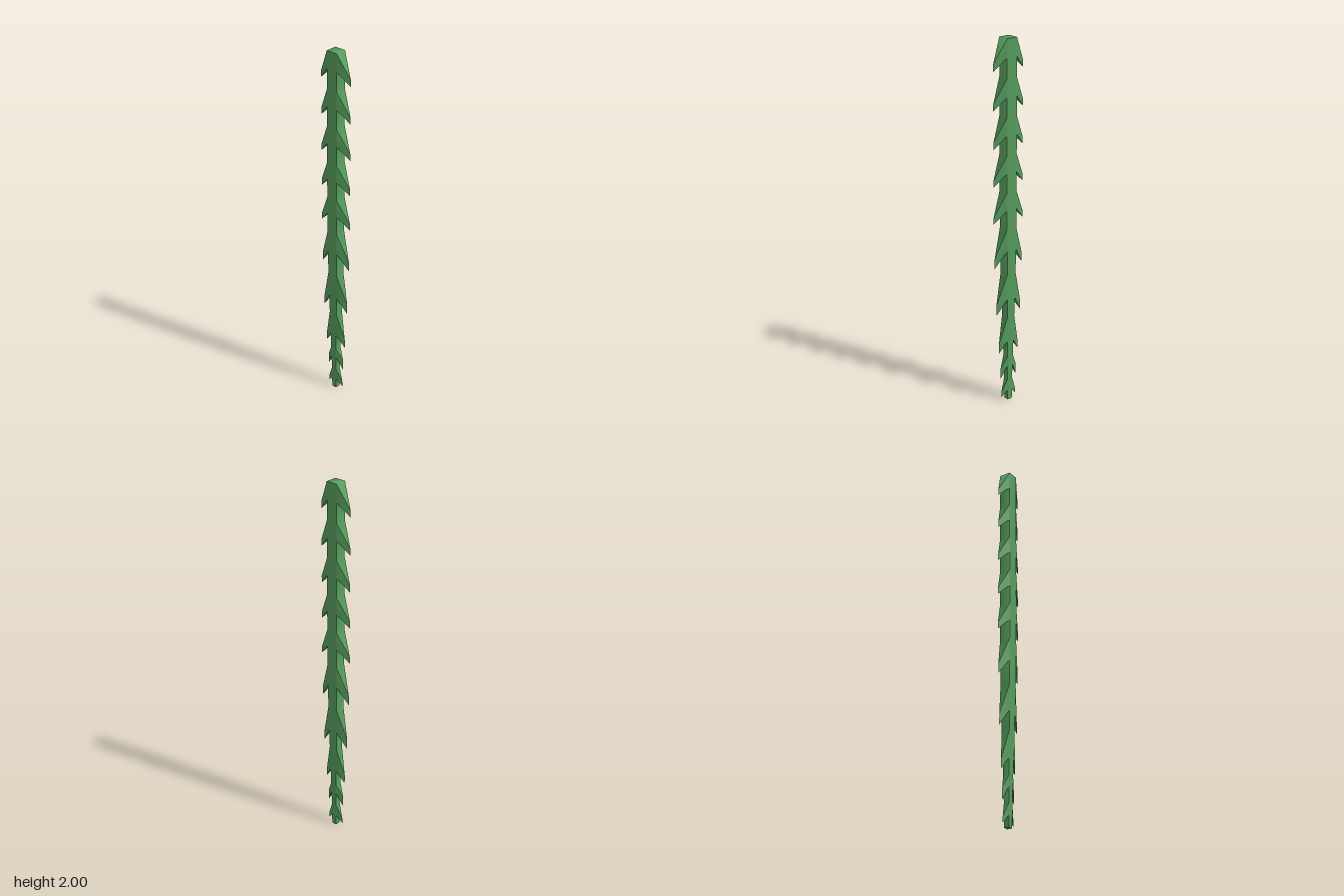
import * as THREE from 'three';
import { toCreasedNormals } from 'three/addons/utils/BufferGeometryUtils.js';

// One tier per row: shoulder y, stem half-width, thorn root y,
// thorn tip x, tip upper y, tip lower y (top to bottom)
const tiers = [];
for (let i = 0; i < 5; i++) {
  const y = 2 - i * 0.2;
  tiers.push([y, 0.031, y - 0.095, 0.095, y - 0.128, y - 0.164]);
}
tiers.push(
  [1.0, 0.03, 0.88, 0.09, 0.84, 0.787],
  [0.745, 0.028, 0.603, 0.08, 0.57, 0.513],
  [0.497, 0.023, 0.355, 0.064, 0.335, 0.286],
  [0.262, 0.018, 0.208, 0.052, 0.195, 0.132],
  [0.125, 0.015, 0.058, 0.047, 0.048, 0.018]
);
const base = [0, 0.014];

function createStalkGeometry() {
  const pos = [];
  const tri = (...pts) => pts.forEach((p) => pos.push(...p));
  const quad = (a, b, c, d) => { tri(a, b, c); tri(a, c, d); };

  tiers.forEach(([yt, w, yr, tipX, tipHi, tipLo], i) => {
    const [yn, wn] = tiers[i + 1] || base;
    const wr = THREE.MathUtils.lerp(w, wn, (yt - yr) / (yt - yn));

    // Each half is the other turned 180 degrees about the stem
    for (const s of [1, -1]) {
      const p = (x, y, z) => [s * x, y, s * z];
      const topF = p(w, yt, w), topB = p(w, yt, -w);
      const rootF = p(wr, yr, wr), rootB = p(wr, yr, -wr);
      const hi = p(tipX, tipHi, 0), lo = p(tipX, tipLo, 0);

      // Stem face beside the thorns, then below them
      quad(p(-wr, yr, wr), rootF, topF, p(-w, yt, w));
      quad(p(-wn, yn, wn), p(wn, yn, wn), rootF, p(-wr, yr, wr));
      // Stem side under the thorn
      quad(p(wn, yn, wn), p(wn, yn, -wn), rootB, rootF);
      // Thorn: upper slope, two flanks, underside
      tri(hi, topB, topF);
      quad(rootF, lo, hi, topF);
      quad(rootB, topB, hi, lo);
      tri(rootF, rootB, lo);
    }
  });

  // End caps
  const w = tiers[0][1], b = base[1];
  quad([-w, 2, w], [w, 2, w], [w, 2, -w], [-w, 2, -w]);
  quad([-b, 0, -b], [b, 0, -b], [b, 0, b], [-b, 0, b]);

  const geometry = new THREE.BufferGeometry();
  geometry.setAttribute('position', new THREE.Float32BufferAttribute(pos, 3));
  return toCreasedNormals(geometry, THREE.MathUtils.degToRad(66));
}

export function createModel() {
  const group = new THREE.Group();
  group.name = 'thornyStalk';
  const stalk = new THREE.Mesh(
    createStalkGeometry(),
    new THREE.MeshStandardMaterial({ color: 0x559b5c })
  );
  stalk.name = 'stemWithThorns';
  group.add(stalk);
  return group;
}
